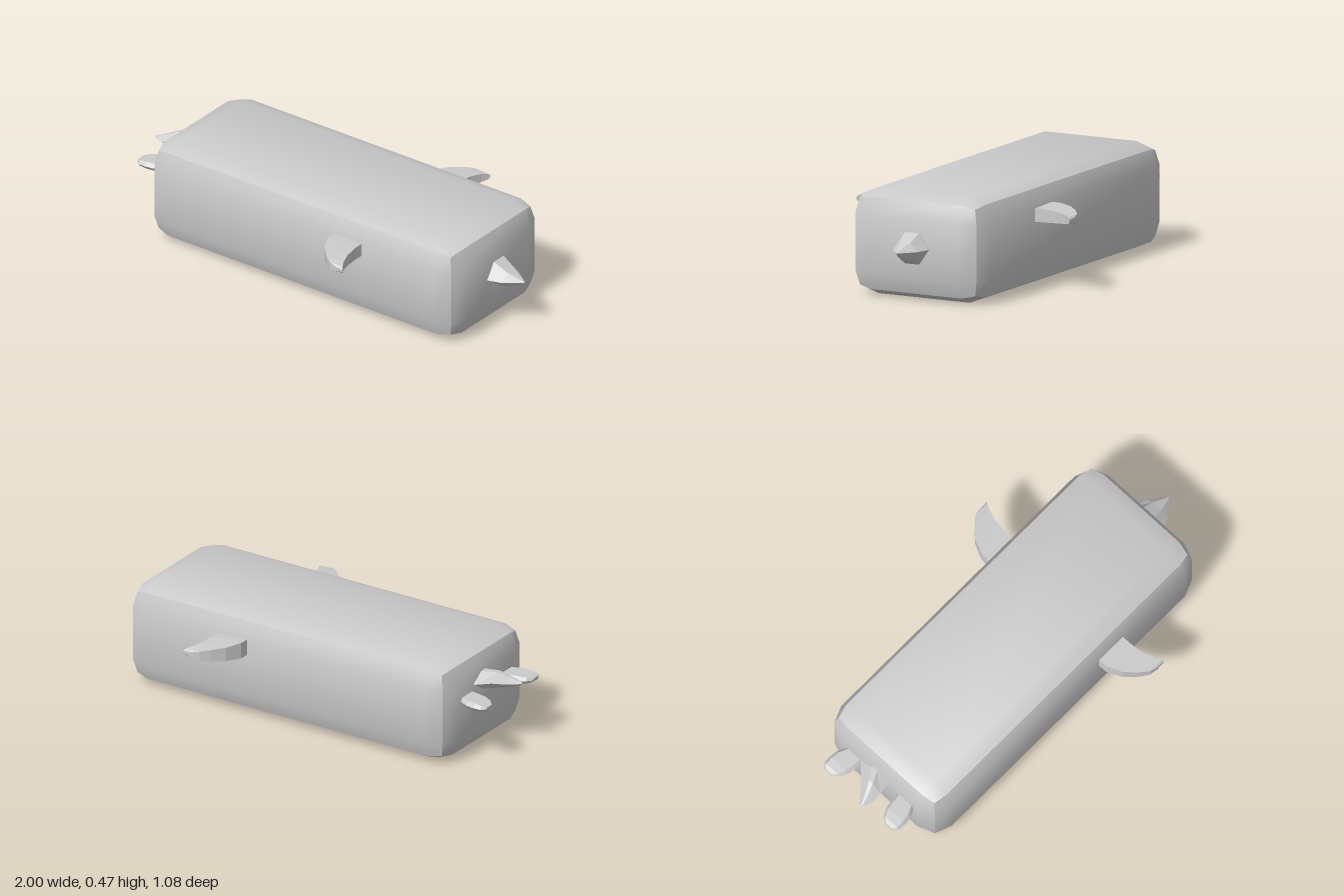
import * as THREE from 'three';
import { toCreasedNormals } from 'three/addons/utils/BufferGeometryUtils.js';
import { RoundedBoxGeometry } from 'three/addons/geometries/RoundedBoxGeometry.js';

const smooth = new THREE.MeshStandardMaterial({ color: 0xcccccc });
const flat = new THREE.MeshStandardMaterial({ color: 0xcccccc, flatShading: true });

// Closed solid through equal-sized rings of [x, y, z]; faces always point outwards
function loft(rings) {
  const n = rings[0].length;
  const pts = rings.flat();
  const tris = [];
  for (let r = 0; r < rings.length - 1; r++) {
    for (let i = 0; i < n; i++) {
      const a = r * n + i, b = r * n + (i + 1) % n;
      tris.push([a, b, b + n], [a, b + n, a + n]);
    }
  }
  const last = (rings.length - 1) * n;
  for (let i = 1; i < n - 1; i++) {
    tris.push([0, i + 1, i], [last, last + i, last + i + 1]);
  }
  // The sign of the enclosed volume tells which way the corners run
  const v = pts.map((p) => new THREE.Vector3(...p));
  const o = v[0];
  let volume = 0;
  for (const [a, b, c] of tris) {
    const cross = v[b].clone().sub(o).cross(v[c].clone().sub(o));
    volume += v[a].clone().sub(o).dot(cross);
  }
  if (volume < 0) tris.forEach((t) => t.reverse());
  const geometry = new THREE.BufferGeometry();
  geometry.setAttribute('position', new THREE.Float32BufferAttribute(tris.flat().flatMap((i) => pts[i]), 3));
  geometry.computeVertexNormals();
  return geometry;
}

// Six-sided section across x: side points at mid height, narrower flats above and below
function hexRing([x, z0, z1, y0, y1], flatShare) {
  const zc = (z0 + z1) / 2, yc = (y0 + y1) / 2, f = (z1 - z0) / 2 * flatShare;
  return [[x, yc, z0], [x, y1, zc - f], [x, y1, zc + f], [x, yc, z1], [x, y0, zc + f], [x, y0, zc - f]];
}

export function createModel() {
  const group = new THREE.Group();
  const add = (name, geometry, material = flat) => {
    const mesh = new THREE.Mesh(geometry, material);
    mesh.name = name;
    group.add(mesh);
    return mesh;
  };

  // Body: long block with bevelled edges
  const body = toCreasedNormals(new RoundedBoxGeometry(1.695, 0.475, 0.67, 1, 0.105), 0.55);
  add('body', body, smooth).position.set(0.008, 0.2375, 0);

  // Snout: six-sided point
  add('snout', loft([
    [0.8, -0.083, 0.083, 0.17, 0.31],
    [0.86, -0.083, 0.083, 0.17, 0.31],
    [0.925, -0.063, 0.063, 0.203, 0.276],
    [1, -0.004, 0.004, 0.237, 0.243],
  ].map((s) => hexRing(s, 0.42))));

  // Side fins: curved blades, sections run outwards as [z, x0, x1, y0, y1]
  const fin = [
    [0.28, 0.2, 0.355, 0.295, 0.37],
    [0.38, 0.205, 0.355, 0.297, 0.37],
    [0.45, 0.237, 0.364, 0.301, 0.366],
    [0.5, 0.285, 0.381, 0.306, 0.361],
    [0.53, 0.325, 0.398, 0.312, 0.355],
    [0.538, 0.36, 0.405, 0.322, 0.346],
  ];
  for (const side of [1, -1]) {
    add(side > 0 ? 'frontFin' : 'backFin', loft(fin.map(([z, x0, x1, y0, y1]) => [
      [x0, y0, z * side], [x0, y1, z * side], [x1, y1 - 0.004, z * side], [x1, y0 + 0.01, z * side],
    ])));
  }

  // Tail: skewed middle blade
  add('tailBlade', loft([
    [-0.78, -0.11, 0.055, 0.29, 0.373],
    [-0.85, -0.105, 0.056, 0.29, 0.373],
    [-0.9, -0.055, 0.062, 0.294, 0.368],
    [-0.95, -0.013, 0.064, 0.299, 0.347],
    [-0.985, 0.018, 0.055, 0.31, 0.333],
    [-1, 0.03, 0.045, 0.318, 0.326],
  ].map((s) => hexRing(s, 0.2))));

  // Tail paddles: rounded lobes either side of the blade
  const paddle = [
    [-0.78, 0.105, 0.2, 0.266, 0.302],
    [-0.84, 0.105, 0.205, 0.266, 0.302],
    [-0.88, 0.108, 0.225, 0.266, 0.302],
    [-0.92, 0.115, 0.23, 0.266, 0.301],
    [-0.955, 0.133, 0.227, 0.269, 0.297],
    [-0.975, 0.16, 0.208, 0.276, 0.29],
  ];
  for (const side of [1, -1]) {
    add(side > 0 ? 'frontTailPaddle' : 'backTailPaddle',
      loft(paddle.map(([x, z0, z1, y0, y1]) => hexRing([x, z0 * side, z1 * side, y0, y1], 0.75))));
  }
  return group;
}
